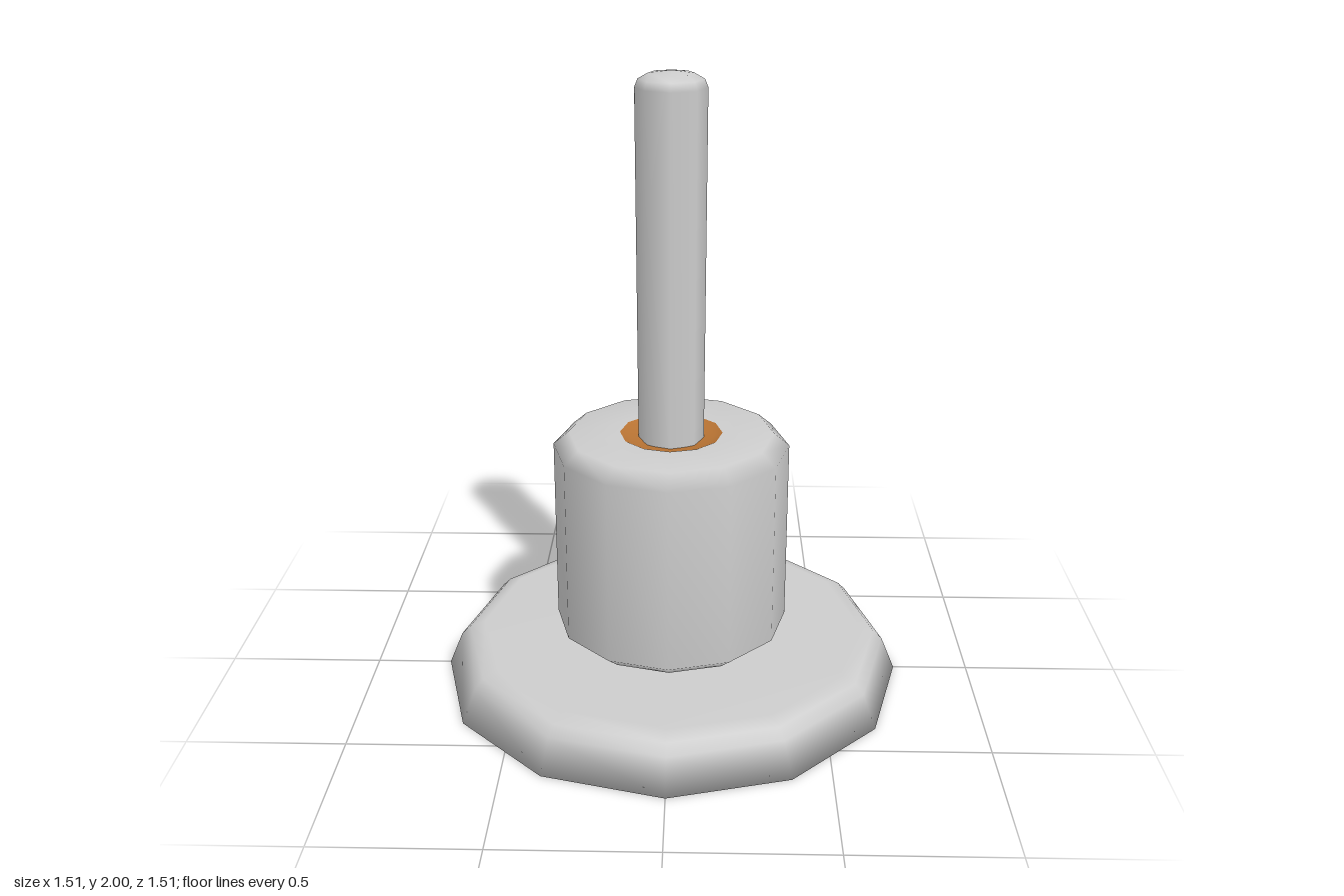
import * as THREE from 'three';

export function createModel() {
  const model = new THREE.Group();
  const steel = new THREE.MeshStandardMaterial({ color: 0xcccccc });
  steel.name = 'steel';
  const copper = new THREE.MeshStandardMaterial({ color: 0xb87333 });
  copper.name = 'copper';

  // Turns a [radius, height] profile, listed from the bottom up, around y
  function turned(name, profile, sides, material) {
    const points = profile.map(([r, y]) => new THREE.Vector2(r, y));
    const mesh = new THREE.Mesh(new THREE.LatheGeometry(points, sides), material);
    mesh.name = name;
    model.add(mesh);
  }

  // Flared foot with a rounded upper rim and a flat underside
  turned('base', [
    [0, 0], [0.755, 0], [0.71, 0.11], [0.68, 0.14], [0.63, 0.157], [0, 0.157],
  ], 12, steel);

  // Bevelled collar standing just clear of the base
  turned('collar', [
    [0.1, 0.165], [0.33, 0.165], [0.38, 0.205], [0.38, 0.81], [0.33, 0.853], [0.165, 0.853],
  ], 12, steel);

  // Shallow dished ring in the mouth of the collar
  turned('bushing', [
    [0.165, 0.853], [0.14, 0.842], [0.095, 0.836],
  ], 12, copper);

  // Slim shaft with a domed tip, running down to the base
  turned('shaft', [
    [0.105, 0.15], [0.105, 0.85], [0.11, 1.95], [0.1, 1.975], [0.07, 1.992], [0, 2],
  ], 8, steel);

  return model;
}
